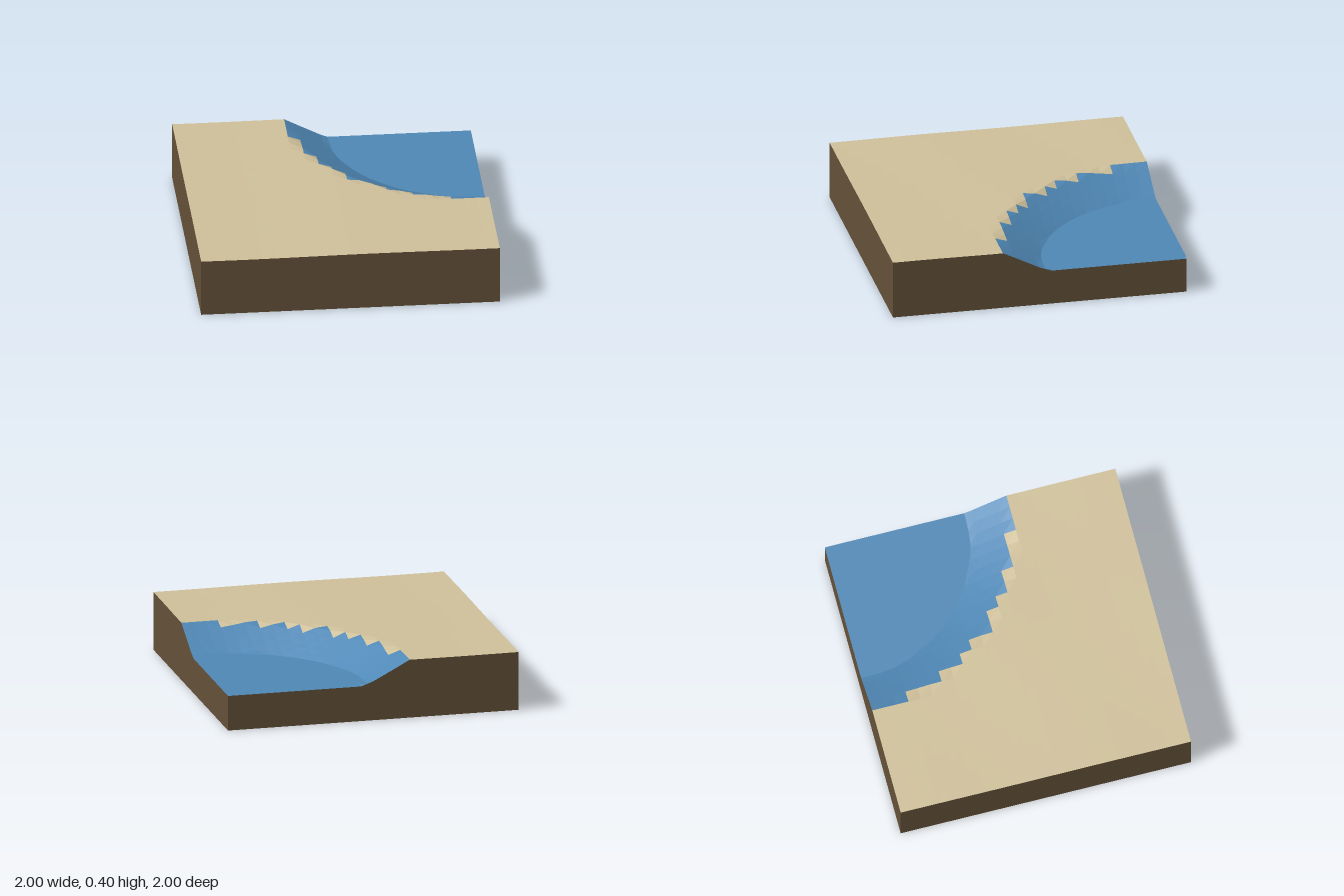
import * as THREE from 'three';

const N = 24;            // cells per side
const STEP = 2 / N;
const BED = 0.24;        // lake bed height
const RIM = 0.4;         // ground height
const at = (i) => -1 + i * STEP;

// distance from the lake's corner
const lakeDist = (x, z) => Math.hypot(1 - x, z + 1);

// ground height: gentle ripples outside, a sloping bank down to the bed
function height(x, z) {
  const r = lakeDist(x, z);
  if (r < 1.245) return Math.max(BED, RIM - 0.52 * (1.25 - r));
  return RIM + 0.0015 * (Math.sin(4.3 * x + 1.2) + Math.cos(5.1 * z + 2 * x));
}

// non-indexed geometry from four-cornered faces, giving flat facets
function quads(list) {
  const pos = [];
  for (const [a, b, c, d] of list) pos.push(...a, ...b, ...c, ...a, ...c, ...d);
  const g = new THREE.BufferGeometry();
  g.setAttribute('position', new THREE.Float32BufferAttribute(pos, 3));
  g.computeVertexNormals();
  return g;
}

export function createModel() {
  const group = new THREE.Group();
  const material = (name, color, side = THREE.FrontSide) => {
    const m = new THREE.MeshStandardMaterial({ color, side });
    m.name = name;
    return m;
  };
  const sand = material('sand', 0xd0c19b);
  const blue = material('lake blue', 0x5089b7, THREE.DoubleSide);
  const earth = material('earth brown', 0x645139);
  const add = (name, geometry, mat) => {
    const mesh = new THREE.Mesh(geometry, mat);
    mesh.name = name;
    group.add(mesh);
  };

  // top and underside, sorted into sand and lake cells
  const faces = { sandTop: [], sandBase: [], lakeTop: [], lakeBase: [] };
  for (let i = 0; i < N; i++) {
    for (let j = 0; j < N; j++) {
      const [x0, x1, z0, z1] = [at(i), at(i + 1), at(j), at(j + 1)];
      const kind = lakeDist((x0 + x1) / 2, (z0 + z1) / 2) < 1.24 ? 'lake' : 'sand';
      const corners = [[x0, z0], [x0, z1], [x1, z1], [x1, z0]];
      faces[kind + 'Top'].push(corners.map(([x, z]) => [x, height(x, z), z]));
      faces[kind + 'Base'].push(corners.map(([x, z]) => [x, 0, z]).reverse());
    }
  }
  add('sandGround', quads(faces.sandTop), sand);
  add('sandUnderside', quads(faces.sandBase), sand);
  add('lakeBank', quads(faces.lakeTop), blue);
  add('lakeUnderside', quads(faces.lakeBase), blue);

  // four side walls following the ground's edge
  const edges = {
    frontWall: (t) => [t, 1],
    leftWall: (t) => [1, -t],
    backWall: (t) => [-t, -1],
    rightWall: (t) => [-1, t],
  };
  for (const [name, edge] of Object.entries(edges)) {
    const wall = [];
    for (let i = 0; i < N; i++) {
      const [ax, az] = edge(at(i));
      const [bx, bz] = edge(at(i + 1));
      wall.push([[ax, 0, az], [bx, 0, bz], [bx, height(bx, bz), bz], [ax, height(ax, az), az]]);
    }
    add(name, quads(wall), earth);
  }

  // quarter disc of water just above the bed
  const water = new THREE.CircleGeometry(0.97, 32, Math.PI, Math.PI / 2);
  water.rotateX(-Math.PI / 2);
  water.translate(1, 0.255, -1);
  add('waterSurface', water, blue);

  return group;
}
